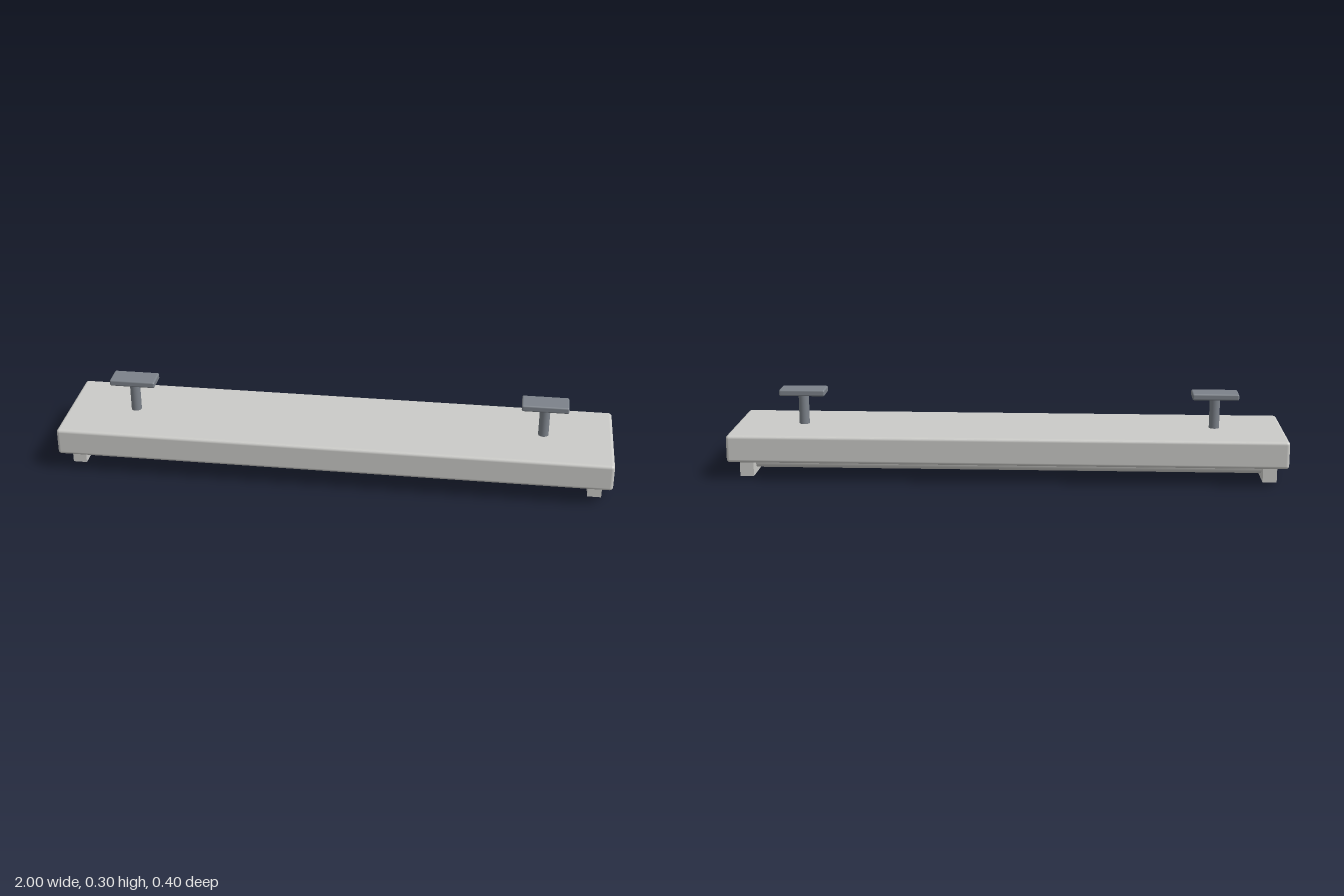
import * as THREE from 'three';
import { RoundedBoxGeometry } from 'three/addons/geometries/RoundedBoxGeometry.js';

export function createModel() {
  const model = new THREE.Group();
  model.name = 'ceilingLamp';

  const housingGrey = new THREE.MeshStandardMaterial({ color: 0xcbcbc8 });
  housingGrey.name = 'housing grey';
  const mountGrey = new THREE.MeshStandardMaterial({ color: 0x7c828a });
  mountGrey.name = 'mount grey';

  const add = (name, geometry, material, x, y, z) => {
    const mesh = new THREE.Mesh(geometry, material);
    mesh.name = name;
    mesh.position.set(x, y, z);
    model.add(mesh);
    return mesh;
  };

  // Long housing with softened edges
  add('housing', new RoundedBoxGeometry(2, 0.1, 0.4, 3, 0.012), housingGrey, 0, 0.117, 0);

  // Two lamp tubes running between the sockets
  const tube = new THREE.CylinderGeometry(0.025, 0.025, 1.85, 24);
  tube.rotateZ(Math.PI / 2);
  for (const z of [-0.067, 0.067]) add('lampTube', tube, housingGrey, 0, 0.042, z);

  // Sockets below and ceiling mounts above, mirrored left and right
  const socket = new THREE.BoxGeometry(0.05, 0.068, 0.267);
  const rod = new THREE.CylinderGeometry(0.0187, 0.0187, 0.116, 24);
  const plate = new RoundedBoxGeometry(0.167, 0.0235, 0.0835, 3, 0.006);
  for (const [side, s] of [['left', 1], ['right', -1]]) {
    add(side + 'Socket', socket, housingGrey, s * 0.942, 0.034, 0);
    add(side + 'MountRod', rod, mountGrey, s * 0.75, 0.222, 0);
    add(side + 'MountPlate', plate, mountGrey, s * 0.75, 0.2883, 0);
  }

  return model;
}
